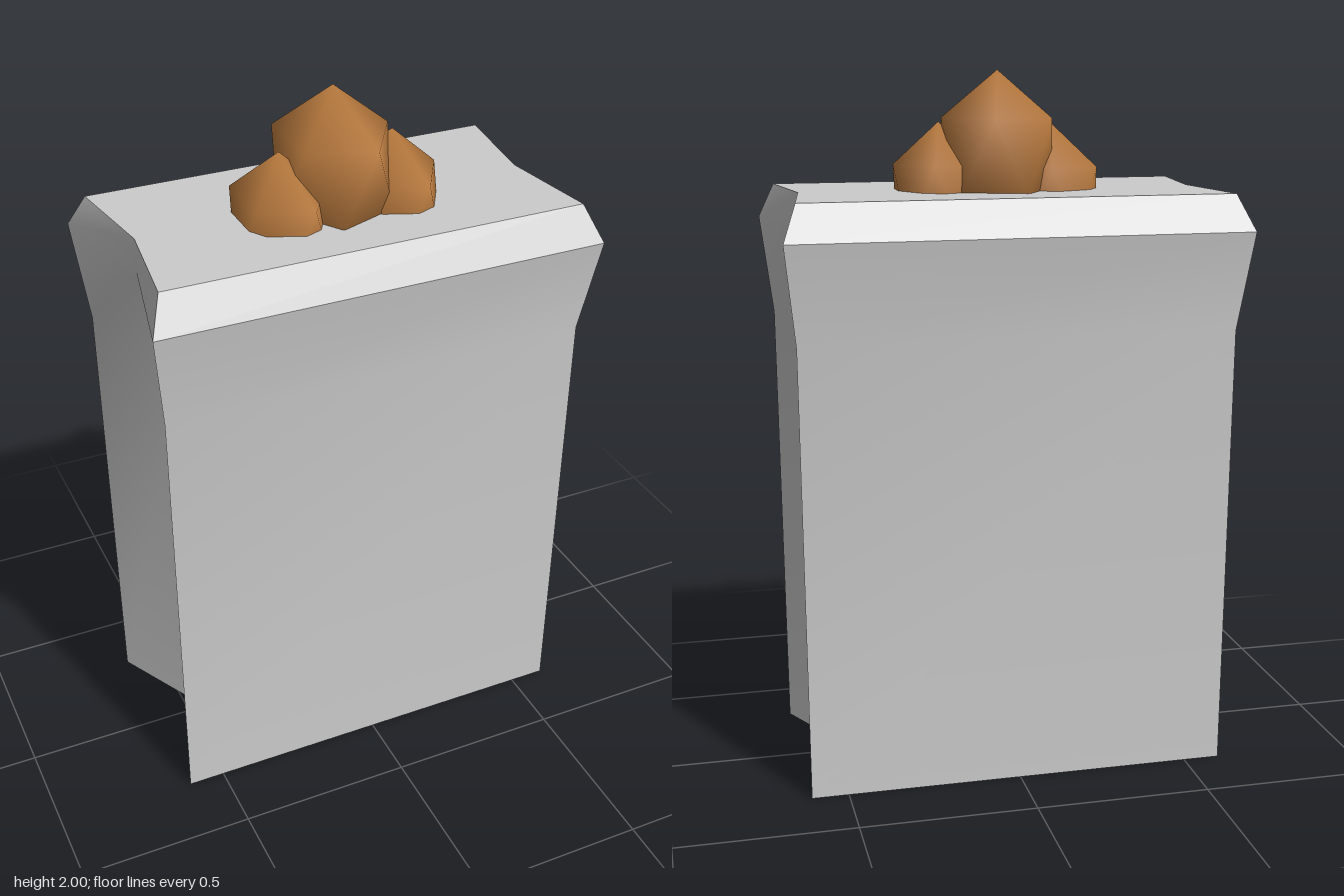
import * as THREE from 'three';
import { toCreasedNormals } from 'three/addons/utils/BufferGeometryUtils.js';

function indexed(points, faces) {
  const g = new THREE.BufferGeometry();
  g.setAttribute('position', new THREE.Float32BufferAttribute(points.flat(), 3));
  g.setIndex(faces.flat());
  return g;
}

// Bag: six-cornered rings with a side fold, closed at both ends
function bagGeometry() {
  // height, corner x, corner z, fold x
  const levels = [
    [0, 0.605, 0.3, 0.45],
    [1.29, 0.613, 0.31, 0.45],
    [1.57, 0.645, 0.36, 0.565],
    [1.67, 0.605, 0.302, 0.565],
  ];
  const points = [], faces = [];
  for (const [y, x, z, f] of levels) {
    points.push([x, y, z], [f, y, 0], [x, y, -z], [-x, y, -z], [-f, y, 0], [-x, y, z]);
  }
  for (let r = 0; r < levels.length - 1; r++) {
    for (let i = 0; i < 6; i++) {
      const a = r * 6 + i, b = r * 6 + (i + 1) % 6;
      faces.push([a, b, b + 6], [a, b + 6, a + 6]);
    }
  }
  const bottom = points.push([0, 0, 0]) - 1;
  const top = points.push([0, 1.67, 0]) - 1;
  const last = (levels.length - 1) * 6;
  for (let i = 0; i < 6; i++) {
    const j = (i + 1) % 6;
    faces.push([bottom, j, i], [top, last + i, last + j]);
  }
  return toCreasedNormals(indexed(points, faces), THREE.MathUtils.degToRad(32));
}

// Bun: a smooth-shaded icosahedron standing on one tip
function bunGeometry(rx, ry, rz) {
  const points = [[0, ry, 0]], faces = [];
  const h = 1 / Math.sqrt(5);
  for (const side of [1, -1]) {
    for (let i = 0; i < 5; i++) {
      const t = (i + (side < 0 ? 0.5 : 0)) * Math.PI * 2 / 5;
      points.push([2 * h * rx * Math.cos(t), side * h * ry, -2 * h * rz * Math.sin(t)]);
    }
  }
  points.push([0, -ry, 0]);
  for (let i = 0; i < 5; i++) {
    const j = (i + 1) % 5;
    faces.push([0, 1 + i, 1 + j], [1 + i, 6 + i, 1 + j], [1 + j, 6 + i, 6 + j], [11, 6 + j, 6 + i]);
  }
  const g = indexed(points, faces);
  g.computeVertexNormals();
  return g;
}

export function createModel() {
  const model = new THREE.Group();
  model.name = 'bagOfBuns';
  const paper = new THREE.MeshStandardMaterial({ color: 0xcccccc });
  const crust = new THREE.MeshStandardMaterial({ color: 0xb97a3e });

  const add = (name, geometry, material, x = 0, y = 0, z = 0) => {
    const mesh = new THREE.Mesh(geometry, material);
    mesh.name = name;
    mesh.position.set(x, y, z);
    model.add(mesh);
  };

  add('paperBag', bagGeometry(), paper);

  // Three buns showing above the bag
  add('middleBun', bunGeometry(0.18, 0.235, 0.212), crust, 0, 1.765, 0);
  add('leftBun', bunGeometry(0.146, 0.21, 0.18), crust, 0.165, 1.648, 0.02);
  add('rightBun', bunGeometry(0.146, 0.21, 0.18), crust, -0.165, 1.638, 0.02);
  return model;
}
